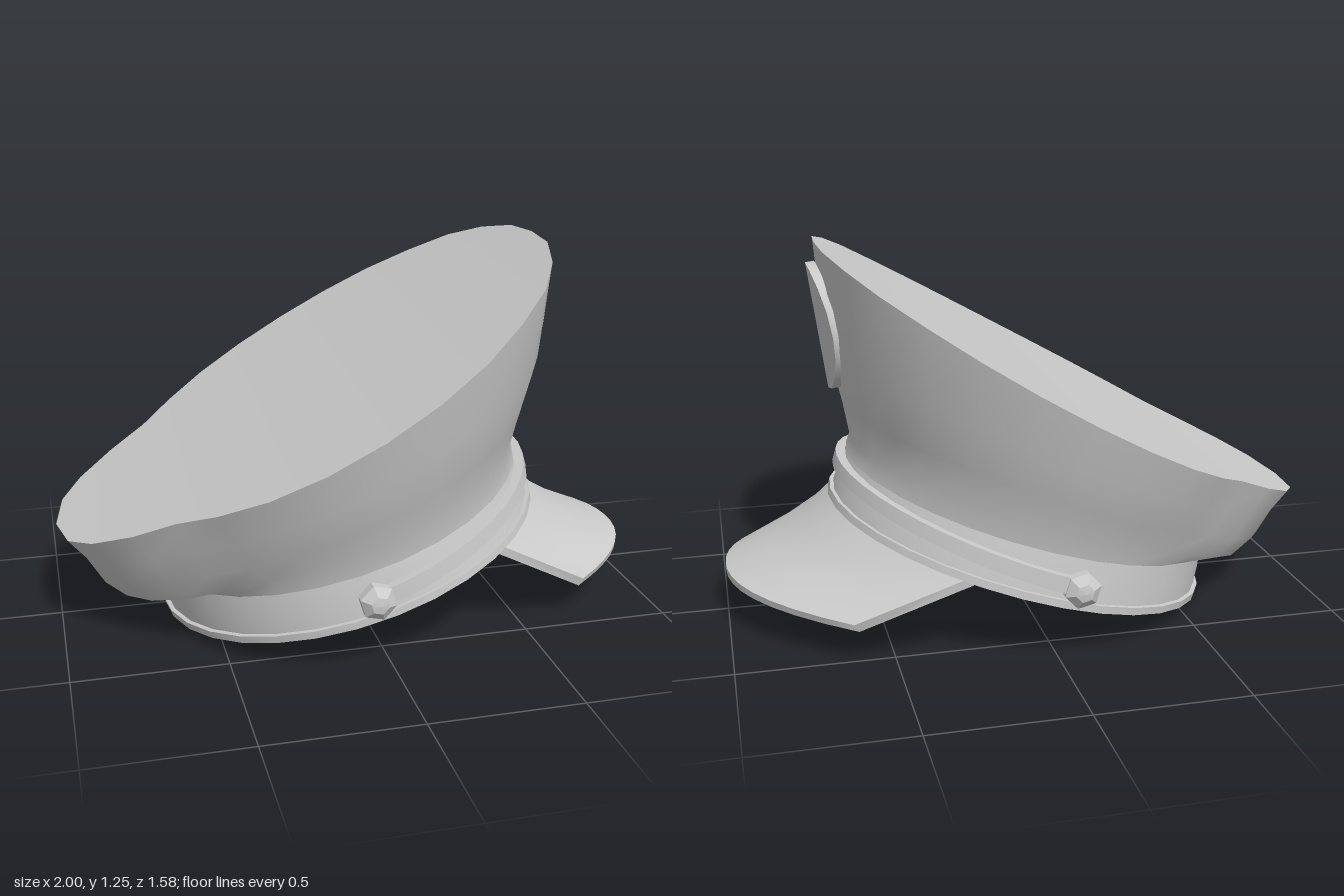
import * as THREE from 'three';
import { toCreasedNormals } from 'three/addons/utils/BufferGeometryUtils.js';

const material = new THREE.MeshStandardMaterial({ color: 0xcccccc, side: THREE.DoubleSide });
const V = (x, y, z) => new THREE.Vector3(x, y, z);
const TILT = 0.288, BASE_Y = 0.193;

// Places a point of the tilted head-band frame in the model frame
const tilted = (p) => p.applyAxisAngle(V(0, 0, 1), TILT).add(V(0, BASE_Y, 0));

function part(name, geometry, crease = 0.6) {
  const mesh = new THREE.Mesh(toCreasedNormals(geometry, crease), material);
  mesh.name = name;
  return mesh;
}

// Skins a list of closed rings, optionally capping both ends
function loft(rings, capped) {
  const n = rings[0].length, index = [];
  for (let k = 0; k < rings.length - 1; k++) {
    for (let i = 0; i < n; i++) {
      const j = (i + 1) % n, a = k * n, c = a + n;
      index.push(a + i, c + i, a + j, a + j, c + i, c + j);
    }
  }
  const last = (rings.length - 1) * n;
  for (let i = 1; capped && i < n - 1; i++) {
    index.push(0, i, i + 1, last, last + i + 1, last + i);
  }
  const geometry = new THREE.BufferGeometry().setFromPoints(rings.flat());
  geometry.setIndex(index);
  geometry.computeVertexNormals();
  return geometry;
}

const lathe = (points, sides = 32) =>
  new THREE.LatheGeometry(points.map((p) => new THREE.Vector2(...p)), sides);

// Flaring crown: narrow at the band, wide and sloping at the top
function crown() {
  const half = [[0.66, 0], [0.65, 0.17], [0.6, 0.34], [0.52, 0.49], [0.4, 0.61], [0.26, 0.71],
    [0.1, 0.77], [-0.07, 0.79], [-0.24, 0.77], [-0.4, 0.71], [-0.54, 0.61], [-0.65, 0.5],
    [-0.78, 0.42], [-0.9, 0.31], [-0.97, 0.19], [-1, 0]];
  const outline = [...half, ...half.slice(1, -1).reverse().map(([x, z]) => [x, -z])];
  const topY = (x) => 0.33 + 0.554 * (x + 1) - 0.042 * (1 - ((x + 0.17) / 0.83) ** 2);
  // Outward and upward share of the way to the rim, at the back, side and front
  const profile = [
    [[0, 0], [0, 0], [0, 0]],
    [[0.45, -0.33], [0.15, 0.2], [-0.2, 0.06]],
    [[0.66, 0.03], [0.42, 0.39], [0.1, 0.25]],
    [[0.83, 0.6], [0.7, 0.66], [0.65, 0.52]],
    [[1, 1], [1, 1], [1, 1]],
  ];
  const rings = profile.map(([back, side, front]) => outline.map(([x, z], i) => {
    const t = (i / outline.length) * Math.PI * 2, c = Math.cos(t);
    const low = tilted(V(0.65 * c, 0.16, 0.65 * Math.sin(t)));
    const w = c > 0 ? c ** 2 : c ** 4, end = c > 0 ? front : back;
    const [u, v] = side.map((value, q) => value + (end[q] - value) * w);
    return V(low.x + (x - low.x) * u, low.y + (topY(x) - low.y) * v, low.z + (z - low.z) * u);
  }));
  // The top closes along a sagging middle line
  rings.push(outline.map(([x]) => V(x, topY(x), 0)));
  return loft(rings, false);
}

// Drooping peak, turned slightly to one side
function peak() {
  const rings = [], steps = 16;
  for (let k = 0; k <= steps; k++) {
    const s = (k / steps) * 2 - 1, t = s - 0.11;
    const inner = tilted(V(0.66 * Math.cos(t), 0.01, 0.66 * Math.sin(t)));
    const outer = V(1 - (0.325 - 0.045 * s) * Math.abs(s) ** 2.2,
      0.17 - 0.03 * s * s, 0.49 * s - 0.04 * s * s);
    const top = [0, 0.25, 0.6, 1].map((u) => {
      const p = inner.clone().lerp(outer, u);
      p.y -= 0.12 * u * (1 - u) * (1.6 - u) * (1 - s * s);
      return p;
    });
    const under = top.map((p) => V(p.x - 0.015 * s * s, p.y - 0.024, p.z)).reverse();
    rings.push([...top, ...under]);
  }
  return loft(rings, true);
}

// Flat strap across the front half of the band, rising to the middle
function strap() {
  const rings = [], steps = 24;
  for (let k = 0; k <= steps; k++) {
    const t = (k / steps - 0.5) * Math.PI * 1.04, c = Math.max(0, Math.cos(t));
    const h = 0.075 + 0.045 * c, w = 0.027 - 0.005 * c;
    rings.push([[0.64, w], [0.68, w], [0.68, -w], [0.64, -w]]
      .map(([r, d]) => V(r * Math.cos(t), h + d, r * Math.sin(t))));
  }
  return loft(rings, true);
}

// Round plate, bent around the crown
function plate() {
  const geometry = new THREE.CylinderGeometry(0.213, 0.213, 0.03, 16);
  const pos = geometry.attributes.position;
  for (let i = 0; i < pos.count; i++) {
    pos.setY(i, pos.getY(i) - 0.03 * (pos.getZ(i) / 0.213) ** 2);
  }
  return geometry;
}

export function createModel() {
  const model = new THREE.Group();
  model.name = 'peakedCap';
  model.add(part('crown', crown()), part('peak', peak()));

  // Head band and everything fixed to it share one tilt
  const band = new THREE.Group();
  band.name = 'headBand';
  band.position.y = BASE_Y;
  band.rotation.z = TILT;
  band.add(
    part('bandWall', lathe([[0.66, 0.01], [0.655, 0.08], [0.645, 0.162]])),
    part('bandTrim', lathe([[0.66, 0], [0.673, 0], [0.673, 0.025], [0.655, 0.025]])),
    part('lining', lathe([[0, 0.27], [0.3, 0.255], [0.555, 0.22], [0.66, 0]])),
    part('strap', strap()),
  );
  for (const side of [-1, 1]) {
    const button = part(side > 0 ? 'leftButton' : 'rightButton',
      lathe([[0.06, -0.03], [0.06, 0.002], [0.03, 0.025], [0, 0.03]], 6), 0.3);
    button.position.set(-0.043, 0.07, side * 0.68);
    button.rotation.x = side * Math.PI / 2;
    band.add(button);
  }
  model.add(band);

  const frontPlate = part('frontPlate', plate());
  frontPlate.position.set(0.645, 0.976, 0);
  frontPlate.rotation.z = -Math.PI / 2 - 0.14;
  model.add(frontPlate);
  return model;
}
